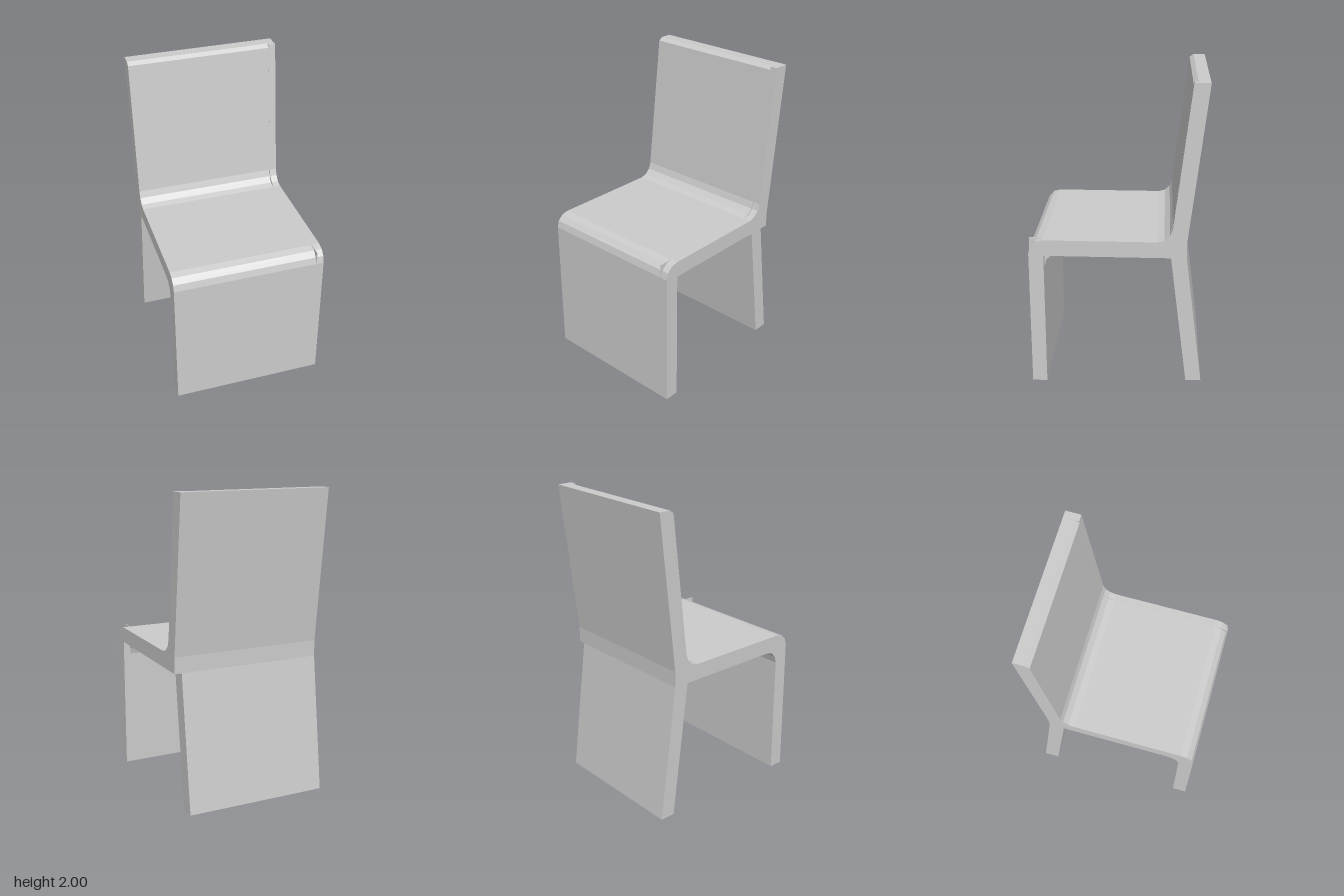
import * as THREE from 'three';

const material = new THREE.MeshStandardMaterial({ color: 0xcccccc, flatShading: true });

// Three-segment rounded corners, as [z, y] points
const frontRound = [[0.555, 0.91], [0.543, 0.955], [0.51, 0.988], [0.465, 1]];
const backFillet = [[-0.258, 1], [-0.3, 1.012], [-0.334, 1.045], [-0.35, 1.09]];
const underFillet = [[0.37, 0.895], [0.415, 0.883], [0.448, 0.85], [0.46, 0.805]];

// Side profile of the chair; options choose which corners are softened
function profile({ round = true, fillet = true, under = true, chamfer = true, rearLeg = true }) {
  return [
    [0.46, 0], [0.555, 0],
    ...(round ? frontRound : [[0.555, 1]]),
    ...(fillet ? backFillet : [[-0.34, 1]]),
    ...(chamfer ? [[-0.453, 1.98], [-0.48, 2]] : [[-0.455, 2]]),
    [-0.555, 2], [-0.44, 1], [-0.44, 0.895],
    ...(rearLeg ? [[-0.555, 0], [-0.455, 0], [-0.34, 0.895]] : []),
    ...(under ? underFillet : [[0.46, 0.895]]),
  ];
}

// Extrude a [z, y] profile across the width from x0 to x1
function slab(name, points, x0, x1) {
  const shape = new THREE.Shape(points.map(([z, y]) => new THREE.Vector2(z, y)));
  const geometry = new THREE.ExtrudeGeometry(shape, { depth: x1 - x0, bevelEnabled: false });
  geometry.rotateY(-Math.PI / 2);
  geometry.translate(x1, 0, 0);
  const mesh = new THREE.Mesh(geometry, material);
  mesh.name = name;
  return mesh;
}

export function createModel() {
  const group = new THREE.Group();
  group.name = 'chair';

  // Main body with seat, back, front panel and rear panel
  group.add(slab('chairBody', profile({}), -0.5, 0.447));

  // Thin seam: a small fin on the front edge and a slit at the back fillet
  group.add(slab('seam', profile({ round: false, fillet: false }), 0.447, 0.453));

  // Side border, square underneath and at the top, without a rear panel
  group.add(slab('sideBorder', profile({ under: false, chamfer: false, rearLeg: false }), 0.453, 0.5));

  return group;
}
